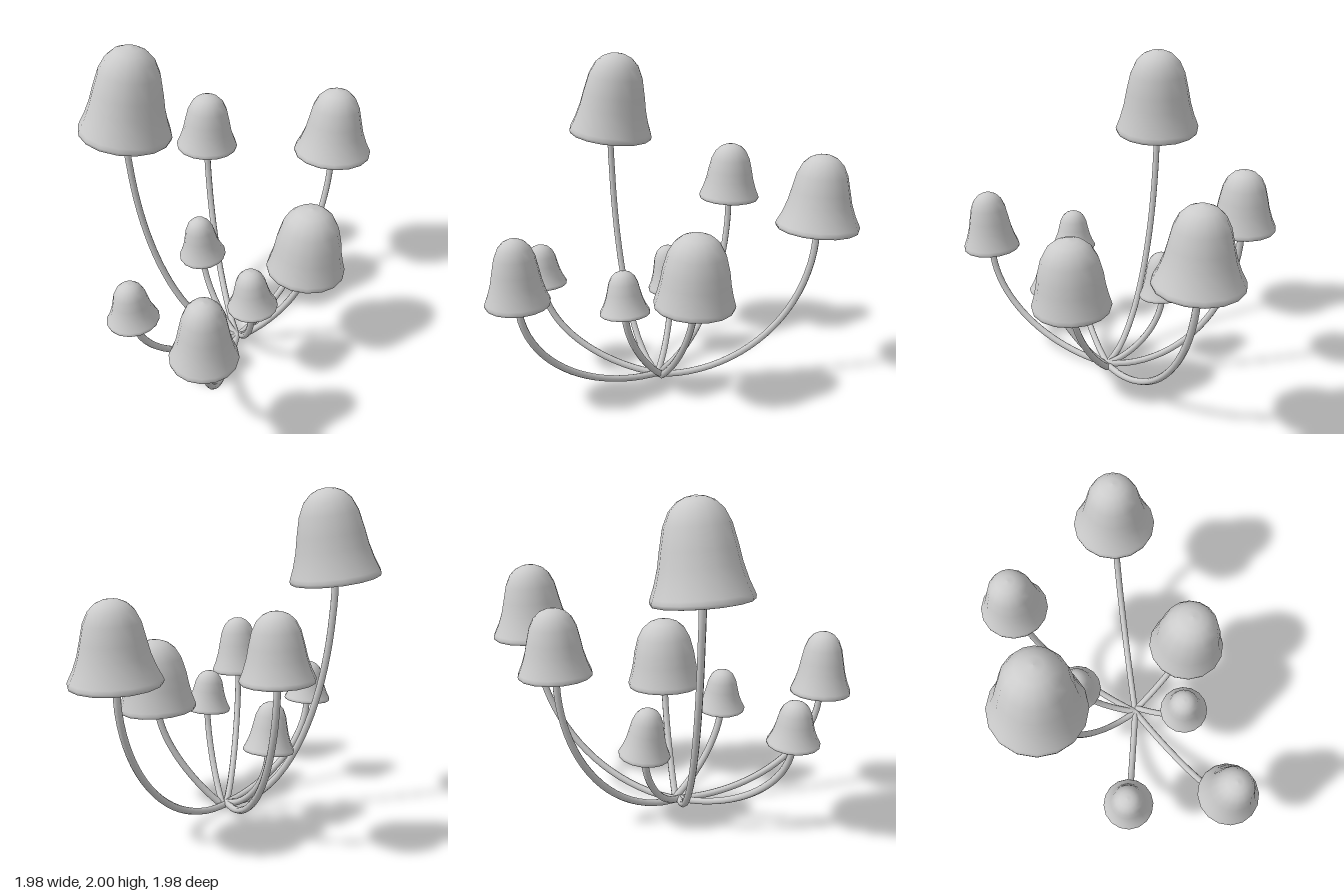
import * as THREE from 'three';

const V = (a) => new THREE.Vector3(...a);
const material = new THREE.MeshStandardMaterial({ color: 0xcccccc, side: THREE.DoubleSide });

// rim: centre of the cap opening, apex: top of the cap, r: rim radius,
// w: relative width at half height, k: how directly the stem climbs
const mushrooms = [
  { name: 'tallMushroom', rim: [-0.67, 1.48, -0.315], apex: [-0.595, 2.0, -0.305], r: 0.272, w: 0.74, k: 0 },
  { name: 'backMushroom', rim: [-0.03, 1.025, -0.79], apex: [-0.015, 1.392, -0.785], r: 0.203, w: 0.73, k: 0 },
  { name: 'leftMushroom', rim: [0.73, 1.01, -0.43], apex: [0.75, 1.455, -0.435], r: 0.255, w: 0.69, k: 0, y: 0.022 },
  { name: 'smallBackMushroom', rim: [-0.23, 0.48, -0.335], apex: [-0.255, 0.77, -0.32], r: 0.152, w: 0.68, k: 0.2 },
  { name: 'wideMushroom', rim: [0.245, 0.645, 0.245], apex: [0.27, 1.08, 0.255], r: 0.24, w: 0.81, k: 0.5, y: 0.02 },
  { name: 'smallRightMushroom', rim: [-0.84, 0.587, 0.25], apex: [-0.85, 0.842, 0.25], r: 0.153, w: 0.68, k: 0.12 },
  { name: 'smallFrontMushroom', rim: [-0.15, 0.565, 0.37], apex: [-0.165, 0.82, 0.365], r: 0.15, w: 0.67, k: 0.45 },
  { name: 'frontMushroom', rim: [-0.59, 0.69, 0.8], apex: [-0.585, 1.075, 0.815], r: 0.187, w: 0.71, k: 0 },
];

// Hollow bell: outer skin from the top down, rolled lip, then inner skin back up
function capGeometry(r, h, w) {
  const mix = (f) => w + (1 - w) * f;
  const outer = [
    [0, 1], [0.25 * w, 0.985], [0.48 * w, 0.945], [0.7 * w, 0.86], [0.87 * w, 0.72],
    [w, 0.5], [mix(0.22), 0.34], [mix(0.58), 0.17], [mix(0.9), 0.06], [1, 0.02],
  ];
  const lip = [[0.985, -0.015], [0.93, -0.02], [0.88, 0.02]];
  const inner = [[mix(0.4) * 0.9, 0.17], [w * 0.86, 0.45], [w * 0.72, 0.7], [w * 0.4, 0.85], [0, 0.89]];
  const profile = [...outer, ...lip, ...inner]
    .map(([x, y]) => new THREE.Vector2(x * r, y * h))
    .reverse();
  return new THREE.LatheGeometry(profile, 16);
}

// Stem leaves the shared base sideways, sweeps up and enters the cap
function stemGeometry(m, rim, axis, height) {
  const base = new THREE.Vector3(m.k > 0.3 ? -0.1 : -0.13, m.y ?? 0.03, 0.03);
  const rise = rim.y - base.y;
  const points = [];
  for (let i = 0; i <= 9; i++) {
    const t = (i / 9) * Math.PI / 2;
    const out = Math.sin(t);
    const p = base.clone().lerp(rim, out);
    p.y = base.y + rise * ((1 - m.k) * (1 - Math.cos(t)) + m.k * out);
    points.push(p);
  }
  points.push(rim.clone().addScaledVector(axis, height * 0.87));
  return new THREE.TubeGeometry(new THREE.CatmullRomCurve3(points), 28, 0.021, 8);
}

export function createModel() {
  const model = new THREE.Group();
  model.name = 'mushroomCluster';
  for (const m of mushrooms) {
    const rim = V(m.rim);
    const axis = V(m.apex).sub(rim);
    const height = axis.length();
    axis.normalize();

    const cap = new THREE.Mesh(capGeometry(m.r, height, m.w), material);
    cap.name = 'cap';
    cap.position.copy(rim);
    cap.quaternion.setFromUnitVectors(new THREE.Vector3(0, 1, 0), axis);

    const stem = new THREE.Mesh(stemGeometry(m, rim, axis, height), material);
    stem.name = 'stem';

    const mushroom = new THREE.Group();
    mushroom.name = m.name;
    mushroom.add(cap, stem);
    model.add(mushroom);
  }
  return model;
}
